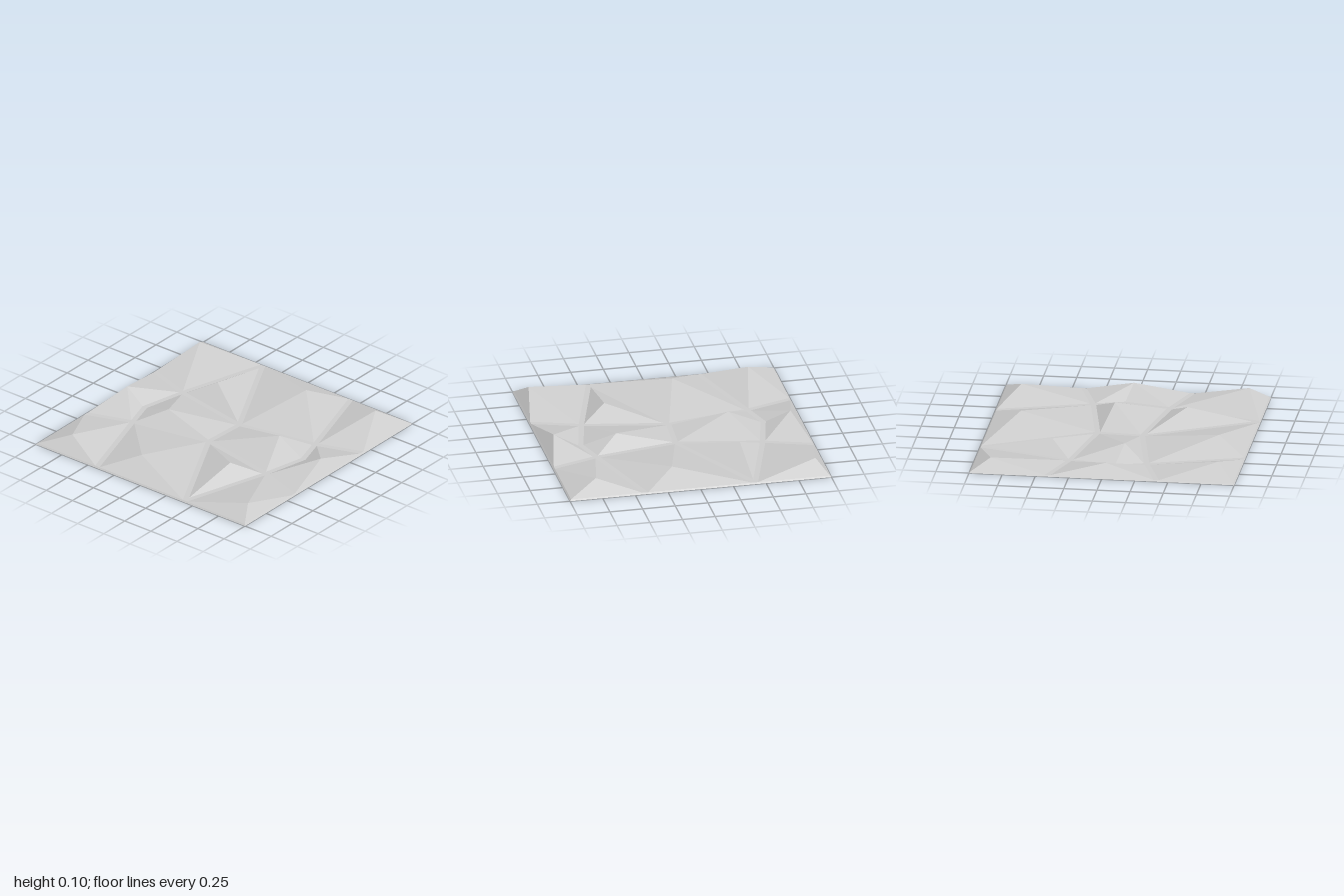
import * as THREE from 'three';

const EDGE = 0.99;    // half size of the raised field inside the rim
const BASE = 0.01;    // height of the grooves
const PEAK = 0.1;     // height of the facet peaks
const HALF = 0.02;    // half width of a groove

// Groove junctions [x, z]; the other half of the panel is the same, turned by 180 degrees
const node = {
  backLeft: [-EDGE, -EDGE], backRight: [EDGE, -EDGE],
  left1: [-EDGE, -0.42], left2: [-EDGE, 0.42], right1: [EDGE, -0.42],
  back1: [-0.41, -EDGE], back2: [0.41, -EDGE],
  inner1: [-0.29, -0.64], inner2: [0.29, -0.63], bend: [-0.06, -0.71],
  mid1: [-0.17, -0.01], mid2: [0.17, 0.01],
};

// Cells, with corners counterclockwise as seen from above
const cells = [
  { name: 'cornerCellA', peak: [-0.85, -0.77], loop: ['backLeft', 'left1', 'inner1', 'back1'] },
  { name: 'edgeCell', peak: [-0.02, -0.91], loop: ['back1', 'inner1', 'bend', 'inner2', 'back2'] },
  { name: 'cornerCellB', peak: [0.85, -0.91], loop: ['back2', 'inner2', 'right1', 'backRight'] },
  { name: 'sideCell', peak: [-0.77, -0.17], loop: ['left1', 'left2', 'mid1', 'inner1'] },
  { name: 'centreCell', peak: [-0.1, -0.45], loop: ['inner1', 'mid1', 'mid2', 'inner2', 'bend'] },
  { name: 'triangleCell', peak: [0.45, -0.42], loop: ['inner2', 'mid2', 'right1'] },
];

// Unshared triangles give flat facets
function facets(triangles) {
  const g = new THREE.BufferGeometry();
  g.setAttribute('position', new THREE.Float32BufferAttribute(triangles.flat(2), 3));
  g.computeVertexNormals();
  return g;
}

const quad = (a, b, c, d) => [[a, b, c], [a, c, d]];

const onRim = (a, b) =>
  [0, 1].some((k) => Math.abs(a[k]) === EDGE && a[k] === b[k]);

// Move every side inwards by the groove half width, except sides on the rim
function inset(loop) {
  const lines = loop.map((a, i) => {
    const b = loop[(i + 1) % loop.length];
    const dx = b[0] - a[0], dz = b[1] - a[1], len = Math.hypot(dx, dz);
    const nx = dz / len, nz = -dx / len;
    return { nx, nz, d: nx * a[0] + nz * a[1] + (onRim(a, b) ? 0 : HALF) };
  });
  return lines.map((q, i) => {
    const p = lines[(i + lines.length - 1) % lines.length];
    const det = p.nx * q.nz - p.nz * q.nx;
    return [(p.d * q.nz - p.nz * q.d) / det, (p.nx * q.d - p.d * q.nx) / det];
  });
}

export function createModel() {
  const group = new THREE.Group();
  group.name = 'facetedPanel';
  const grey = new THREE.MeshStandardMaterial({ color: 0xcccccc, side: THREE.DoubleSide });
  grey.name = 'lightGrey';

  const add = (parent, name, triangles) => {
    const mesh = new THREE.Mesh(facets(triangles), grey);
    mesh.name = name;
    parent.add(mesh);
  };

  // Two matching halves of faceted cells with flat grooves between them
  ['backHalf', 'frontHalf'].forEach((halfName, h) => {
    const half = new THREE.Group();
    half.name = halfName;
    half.rotation.y = h * Math.PI;
    const grooves = [];
    for (const { name, peak, loop } of cells) {
      const outer = loop.map((key) => node[key]);
      const lift = ([x, z]) => [x, BASE, z];
      const o = outer.map(lift), n = inset(outer).map(lift);
      const top = [peak[0], PEAK, peak[1]];
      const pyramid = [];
      o.forEach((a, i) => {
        const j = (i + 1) % o.length;
        pyramid.push([n[i], n[j], top]);
        if (!onRim(outer[i], outer[j])) grooves.push(...quad(a, o[j], n[j], n[i]));
      });
      add(half, name, pyramid);
    }
    add(half, 'grooves', grooves);
    group.add(half);
  });

  // Narrow sloping rim down to the ground
  const rim = [];
  const square = [[-1, -1], [-1, 1], [1, 1], [1, -1]];
  square.forEach(([x, z], i) => {
    const [u, w] = square[(i + 1) % 4];
    rim.push(...quad([x, 0, z], [u, 0, w], [u * EDGE, BASE, w * EDGE], [x * EDGE, BASE, z * EDGE]));
  });
  add(group, 'rim', rim);
  return group;
}
